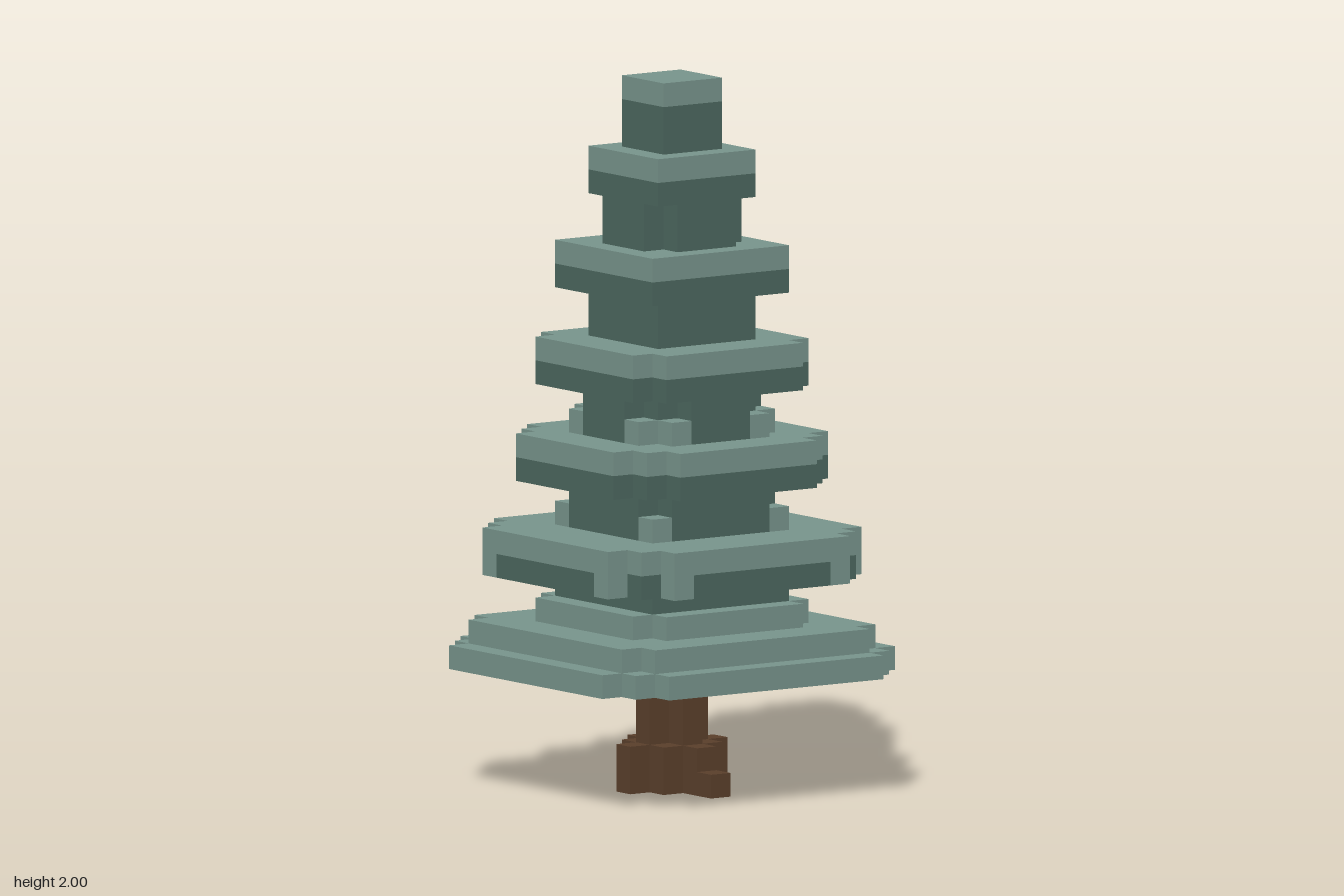
import * as THREE from 'three';

const U = 1 / 15; // one block

const material = (name, color) => Object.assign(new THREE.MeshStandardMaterial({ color }), { name });

// Outline symmetric in all quadrants; steps are [halfX, halfZ] pairs from the widest x to the widest z
function steppedOutline(steps) {
  const quarter = [];
  steps.forEach(([x, z], i) => {
    if (i > 0) quarter.push([x, steps[i - 1][1]]);
    quarter.push([x, z]);
  });
  const back = [...quarter].reverse();
  const points = [
    ...quarter,
    ...back.map(([x, z]) => [-x, z]),
    ...quarter.map(([x, z]) => [-x, -z]),
    ...back.map(([x, z]) => [x, -z]),
  ];
  return new THREE.Shape(points.map(([x, z]) => new THREE.Vector2(x * U, z * U)));
}

const square = (h) => [[h, h]];
const notched = (h) => [[h, h - 1], [h - 1, h]];
const doubleNotched = (h) => [[h, h - 2], [h - 1, h - 1], [h - 2, h]];

export function createModel() {
  const tree = new THREE.Group();
  tree.name = 'blockPineTree';
  const light = material('lightNeedles', 0x78958c);
  const dark = material('shadedNeedles', 0x4c675f);
  const bark = material('bark', 0x5a3f2b);

  // Horizontal slab of blocks from row y0 to row y1
  function slab(name, mat, y0, y1, steps) {
    const geo = new THREE.ExtrudeGeometry(steppedOutline(steps), { depth: (y1 - y0) * U, bevelEnabled: false });
    geo.rotateX(-Math.PI / 2);
    const mesh = new THREE.Mesh(geo, mat);
    mesh.name = name;
    mesh.position.y = y0 * U;
    tree.add(mesh);
  }

  // Single blocks, centred at (x, z) and mirrored around all four corners
  function cornerBlocks(name, mat, y, x, z) {
    const group = new THREE.Group();
    group.name = name;
    const geo = new THREE.BoxGeometry(U, U, U);
    const spots = x === z ? [[x, z]] : [[x, z], [z, x]];
    for (const [a, b] of spots)
      for (const sx of [-1, 1])
        for (const sz of [-1, 1]) {
          const block = new THREE.Mesh(geo, mat);
          block.name = name + 'Block';
          block.position.set(sx * a * U, (y + 0.5) * U, sz * b * U);
          group.add(block);
        }
    tree.add(group);
  }

  // Trunk with flared base and one root
  slab('trunkBase', bark, 0, 2, doubleNotched(2.5));
  slab('trunk', bark, 2, 5, [[1.5, 0.5], [0.5, 0.5], [0.5, 1.5]]);
  const root = new THREE.Mesh(new THREE.BoxGeometry(U, U, U), bark);
  root.name = 'root';
  root.position.set(0, U / 2, 3 * U);
  tree.add(root);

  // Lowest skirt with shaded underside
  slab('skirtUnderside', dark, 4.95, 5, doubleNotched(6.5));
  slab('skirtRim', light, 5, 6, doubleNotched(7.5));
  slab('skirtMiddle', light, 6, 7, notched(6.5));
  slab('skirtTop', light, 7, 8, notched(4.5));
  slab('lowerCore', dark, 8, 9, square(3.5));

  // Second tier
  slab('secondTierLower', dark, 9, 10, [[6.5, 3.5], [5.5, 5.5], [3.5, 6.5]]);
  cornerBlocks('secondTierTips', light, 9, 4, 6);
  slab('secondTierUpper', light, 10, 11, doubleNotched(6.5));
  slab('secondCore', dark, 11, 13, notched(3.5));
  cornerBlocks('secondCoreTufts', light, 11, 3, 3);

  // Third tier
  slab('thirdTierLower', dark, 13, 14, doubleNotched(5.5));
  slab('thirdTierUpper', light, 14, 15, doubleNotched(5.5));
  slab('thirdCore', dark, 15, 17, doubleNotched(3.5));
  cornerBlocks('thirdCoreTufts', light, 15, 2, 3);

  // Fourth tier
  slab('fourthTierLower', dark, 17, 18, notched(4.5));
  slab('fourthTierUpper', light, 18, 19, notched(4.5));
  slab('fourthCore', dark, 19, 21, square(2.5));

  // Fifth tier
  slab('fifthTierLower', dark, 21, 22, square(3.5));
  slab('fifthTierUpper', light, 22, 23, square(3.5));
  slab('fifthCore', dark, 23, 25, notched(2.5));

  // Sixth tier and tip
  slab('sixthTierLower', dark, 25, 26, square(2.5));
  slab('sixthTierUpper', light, 26, 27, square(2.5));
  slab('tipLower', dark, 27, 29, square(1.5));
  slab('tipUpper', light, 29, 30, square(1.5));

  return tree;
}
